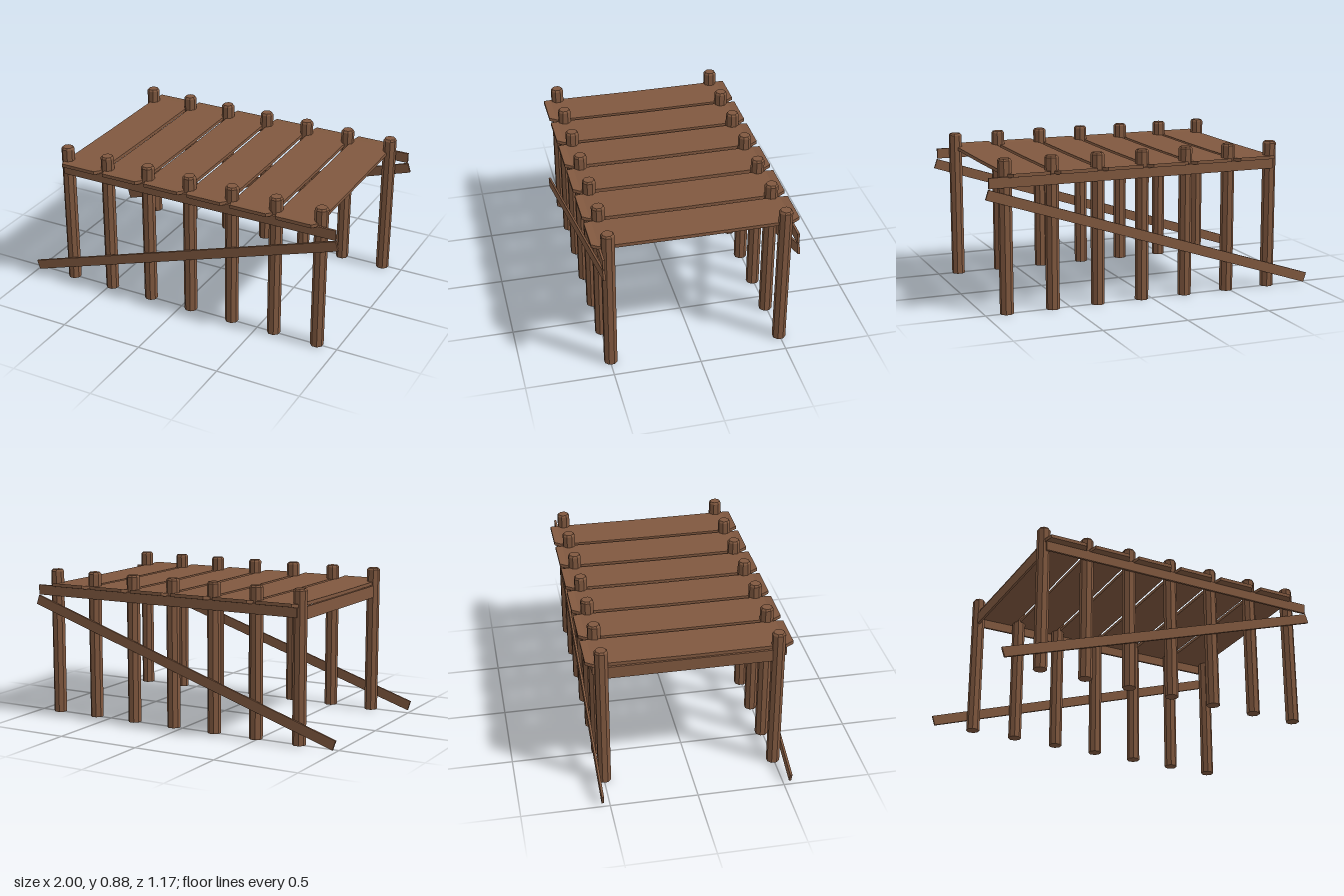
import * as THREE from 'three';

const wood = new THREE.MeshStandardMaterial({ color: 0x80583f, flatShading: true });
wood.name = 'brown wood';

const POST_START = -0.755, POST_STEP = 0.2717, POST_Z = 0.496;

function add(parent, name, geometry, x = 0, y = 0, z = 0) {
  const mesh = new THREE.Mesh(geometry, wood);
  mesh.name = name;
  mesh.position.set(x, y, z);
  parent.add(mesh);
  return mesh;
}

// Eight-sided post with a small chamfer at the top
function postGeometry() {
  const profile = [[0, 0], [0.039, 0], [0.039, 0.865], [0.031, 0.876], [0, 0.876]];
  const g = new THREE.LatheGeometry(profile.map(([r, y]) => new THREE.Vector2(r, y)), 8);
  g.rotateY(Math.PI / 8);
  return g;
}

// Board with narrowed ends that bend slightly upward
function plankGeometry(width) {
  const zs = [-0.583, -0.54, -0.33, 0, 0.33, 0.54, 0.583];
  const g = new THREE.BoxGeometry(1, 0.02, 1, 1, 1, zs.length - 1);
  const p = g.attributes.position;
  for (let i = 0; i < p.count; i++) {
    const k = Math.round((p.getZ(i) + 0.5) * (zs.length - 1));
    const tip = k === 0 || k === zs.length - 1;
    const lift = tip ? 0.011 : Math.abs(zs[k]) * 0.005;
    p.setXYZ(i, p.getX(i) * (tip ? width - 0.035 : width), p.getY(i) + lift, zs[k]);
  }
  g.computeVertexNormals();
  return g;
}

export function createModel() {
  const model = new THREE.Group();
  model.name = 'wooden jetty';

  // Two rows of posts
  const posts = new THREE.Group();
  posts.name = 'posts';
  model.add(posts);
  const post = postGeometry();
  for (let i = 0; i < 7; i++) {
    for (const side of [-1, 1]) add(posts, 'post', post, POST_START + i * POST_STEP, 0, side * POST_Z);
  }

  // Deck boards between neighbouring posts
  const deck = new THREE.Group();
  deck.name = 'deck';
  model.add(deck);
  const plankEdges = [[-0.762, -0.508], [-0.485, -0.232], [-0.207, 0.042],
    [0.07, 0.316], [0.344, 0.598], [0.623, 0.87]];
  for (const [a, b] of plankEdges) add(deck, 'plank', plankGeometry(b - a), (a + b) / 2, 0.781, 0);

  // Rails and sloping braces on both long sides
  for (const side of [-1, 1]) {
    add(model, 'sideRail', new THREE.BoxGeometry(1.735, 0.06, 0.013), 0.1125, 0.75, side * 0.539);
    const brace = add(model, 'brace', new THREE.BoxGeometry(2.086, 0.058, 0.013), 0, 0.362, side * 0.54);
    brace.rotation.z = 0.318;
  }

  // Cross beam closing one end
  add(model, 'endBeam', new THREE.BoxGeometry(0.014, 0.072, 1.0), -0.765, 0.735, 0);

  return model;
}
